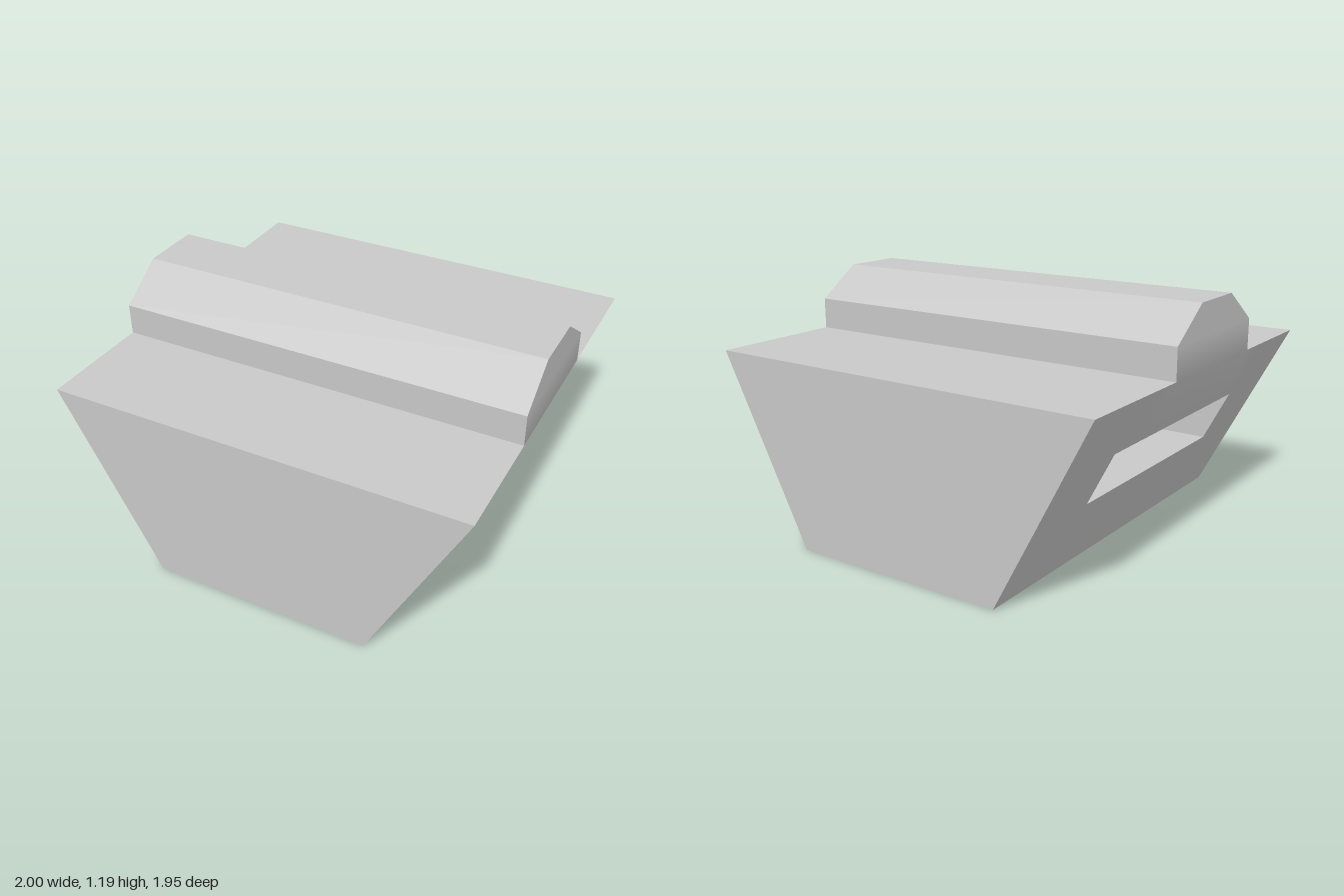
import * as THREE from 'three';
import { toCreasedNormals } from 'three/addons/utils/BufferGeometryUtils.js';

const H = 0.89, DEPTH = 0.975, BASE = 0.535;       // tapered body
const IN_X = 0.336, IN_Z = 0.78, IN_Y = 0.69;      // hollow open at the bottom
const SLOT_Z = 0.57, SLOT_Y = [0.375, 0.62];       // slot through both sides
const halfWidth = y => Math.min(1, BASE + (1 - BASE) * y / H);

// Outline across the top, from the front foot to the back foot, as [z, y]
const profile = [
  [DEPTH, 0], [DEPTH, H], [0.42, H], [0.42, 1.04], [0.2, 1.19],
  [-0.1, 1.19], [-0.32, 1.04], [-0.32, H], [-DEPTH, H], [-DEPTH, 0],
];

// Geometry from a list of four-cornered faces
function fromQuads(quads, flip = false) {
  const pos = [];
  for (const q of quads) {
    const [a, b, c, d] = flip ? [...q].reverse() : q;
    for (const p of [a, b, c, a, c, d]) pos.push(...p);
  }
  const g = new THREE.BufferGeometry();
  g.setAttribute('position', new THREE.Float32BufferAttribute(pos, 3));
  return toCreasedNormals(g, Math.PI / 6);
}

// Wall facing +x, divided in a grid with the slot left open
function slottedWall(zs, ys, xAt) {
  const quads = [];
  for (let i = 0; i < zs.length - 1; i++) {
    for (let j = 0; j < ys.length - 1; j++) {
      const inSlot = ys[j] === SLOT_Y[0] && Math.abs(zs[i] + zs[i + 1]) / 2 < SLOT_Z;
      if (inSlot) continue;
      const p = (z, y) => [xAt(y), y, z];
      quads.push([p(zs[i], ys[j]), p(zs[i], ys[j + 1]), p(zs[i + 1], ys[j + 1]), p(zs[i + 1], ys[j])]);
    }
  }
  return quads;
}

export function createModel() {
  const group = new THREE.Group();
  const grey = new THREE.MeshStandardMaterial({ color: 0xc8c8c8 });
  grey.name = 'light grey';
  const add = (name, geometry) => {
    const mesh = new THREE.Mesh(geometry, grey);
    mesh.name = name;
    group.add(mesh);
  };

  // Front, decks, ridge and back: strips spanning the full width
  const strip = ([z0, y0], [z1, y1]) => {
    const a = halfWidth(y0), b = halfWidth(y1);
    return [[-a, y0, z0], [a, y0, z0], [b, y1, z1], [-b, y1, z1]];
  };
  const stripNames = ['front', 'frontDeck', 'ridgeFront', 'ridgeFrontBevel', 'ridgeTop',
    'ridgeBackBevel', 'ridgeBack', 'backDeck', 'back'];
  stripNames.forEach((name, i) => add(name, fromQuads([strip(profile[i], profile[i + 1])])));

  // Bottom rim around the hollow
  const rim = new THREE.Shape([[-BASE, -DEPTH], [BASE, -DEPTH], [BASE, DEPTH], [-BASE, DEPTH]]
    .map(p => new THREE.Vector2(...p)));
  rim.holes.push(new THREE.Path([[-IN_X, -IN_Z], [-IN_X, IN_Z], [IN_X, IN_Z], [IN_X, -IN_Z]]
    .map(p => new THREE.Vector2(...p))));
  add('bottomRim', new THREE.ShapeGeometry(rim).rotateX(Math.PI / 2));

  // Hollow: ceiling and end walls
  add('hollowCeiling', new THREE.PlaneGeometry(2 * IN_X, 2 * IN_Z).rotateX(Math.PI / 2).translate(0, IN_Y, 0));
  add('hollowBackWall', new THREE.PlaneGeometry(2 * IN_X, IN_Y).translate(0, IN_Y / 2, -IN_Z));
  add('hollowFrontWall', new THREE.PlaneGeometry(2 * IN_X, IN_Y).rotateY(Math.PI).translate(0, IN_Y / 2, IN_Z));

  for (const s of [1, -1]) {
    const side = s > 0 ? 'left' : 'right';

    // Sloping side, blending softly into the upright end of the ridge
    const outer = slottedWall([-DEPTH, -SLOT_Z, -0.32, 0.42, SLOT_Z, DEPTH], [0, ...SLOT_Y, H], y => s * halfWidth(y));
    const end = (...pts) => pts.map(([z, y]) => [s, y, z]);
    outer.push(end([-0.32, H], [-0.32, 1.04], [0.42, 1.04], [0.42, H]));
    outer.push(end([-0.32, 1.04], [-0.1, 1.19], [0.2, 1.19], [0.42, 1.04]));
    add(side + 'Side', fromQuads(outer, s < 0));

    // Inner wall of the hollow
    const inner = slottedWall([-IN_Z, -SLOT_Z, SLOT_Z, IN_Z], [0, ...SLOT_Y, IN_Y], () => s * IN_X);
    add(side + 'HollowWall', fromQuads(inner, s > 0));

    // Four faces lining the slot
    const [lo, hi] = SLOT_Y;
    const corners = [[-SLOT_Z, lo], [SLOT_Z, lo], [SLOT_Z, hi], [-SLOT_Z, hi]];
    const lining = corners.map(([z0, y0], i) => {
      const [z1, y1] = corners[(i + 1) % 4];
      return [[s * IN_X, y0, z0], [s * IN_X, y1, z1], [s * halfWidth(y1), y1, z1], [s * halfWidth(y0), y0, z0]];
    });
    add(side + 'SlotLining', fromQuads(lining, s < 0));
  }
  return group;
}
